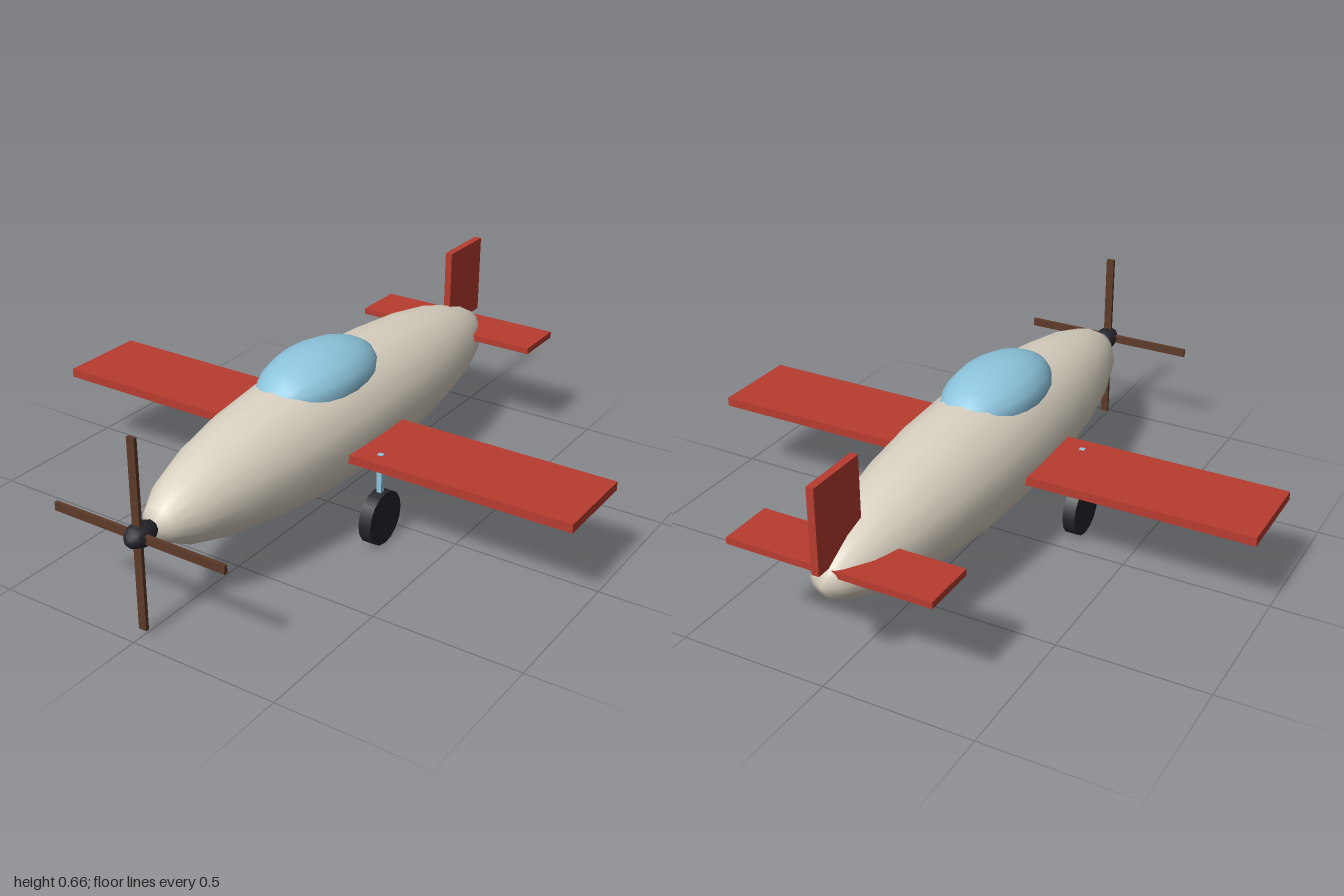
import * as THREE from 'three';

const mat = (name, color) => {
  const m = new THREE.MeshStandardMaterial({ color });
  m.name = name;
  return m;
};

export function createModel() {
  const group = new THREE.Group();
  const cream = mat('cream', 0xdbd3c3);
  const red = mat('red', 0xb83c30);
  const blue = mat('light blue', 0x8ec6de);
  const dark = mat('charcoal', 0x25252d);
  const brown = mat('brown', 0x5c3a28);

  const add = (name, geometry, material, x, y, z) => {
    const mesh = new THREE.Mesh(geometry, material);
    mesh.name = name;
    mesh.position.set(x, y, z);
    group.add(mesh);
    return mesh;
  };
  const box = (name, material, size, pos) =>
    add(name, new THREE.BoxGeometry(...size), material, ...pos);
  // Ellipsoid whose poles lie on the z axis
  const ellipsoid = (name, material, radii, pos, sides, rings) => {
    const geometry = new THREE.SphereGeometry(1, sides, rings);
    geometry.rotateX(Math.PI / 2).scale(...radii);
    return add(name, geometry, material, ...pos);
  };

  // Body and canopy
  ellipsoid('fuselage', cream, [0.215, 0.215, 0.94], [0, 0.33, -0.04], 16, 12);
  ellipsoid('canopy', blue, [0.155, 0.11, 0.27], [0, 0.49, 0.055], 16, 12);

  // Wings and tail
  box('wing', red, [1.95, 0.03, 0.312], [0, 0.301, 0.024]);
  box('tailplane', red, [0.69, 0.022, 0.187], [0, 0.365, -0.858]);
  box('tailFin', red, [0.025, 0.28, 0.218], [0, 0.52, -0.891]);

  // Propeller
  box('verticalBlade', brown, [0.028, 0.626, 0.012], [0, 0.334, 0.953]);
  box('horizontalBlade', brown, [0.626, 0.028, 0.012], [0, 0.334, 0.953]);
  ellipsoid('spinner', dark, [0.04, 0.04, 0.06], [0, 0.334, 0.94], 8, 8);

  // Landing gear, one per side
  for (const [side, s] of [['left', 1], ['right', -1]]) {
    box(side + 'Strut', blue, [0.018, 0.217, 0.018], [s * 0.285, 0.2085, 0.122]);
    const wheel = new THREE.CylinderGeometry(0.0925, 0.0925, 0.044, 16);
    wheel.rotateZ(Math.PI / 2);
    add(side + 'Wheel', wheel, dark, s * 0.285, 0.0925, 0.122);
  }
  return group;
}
